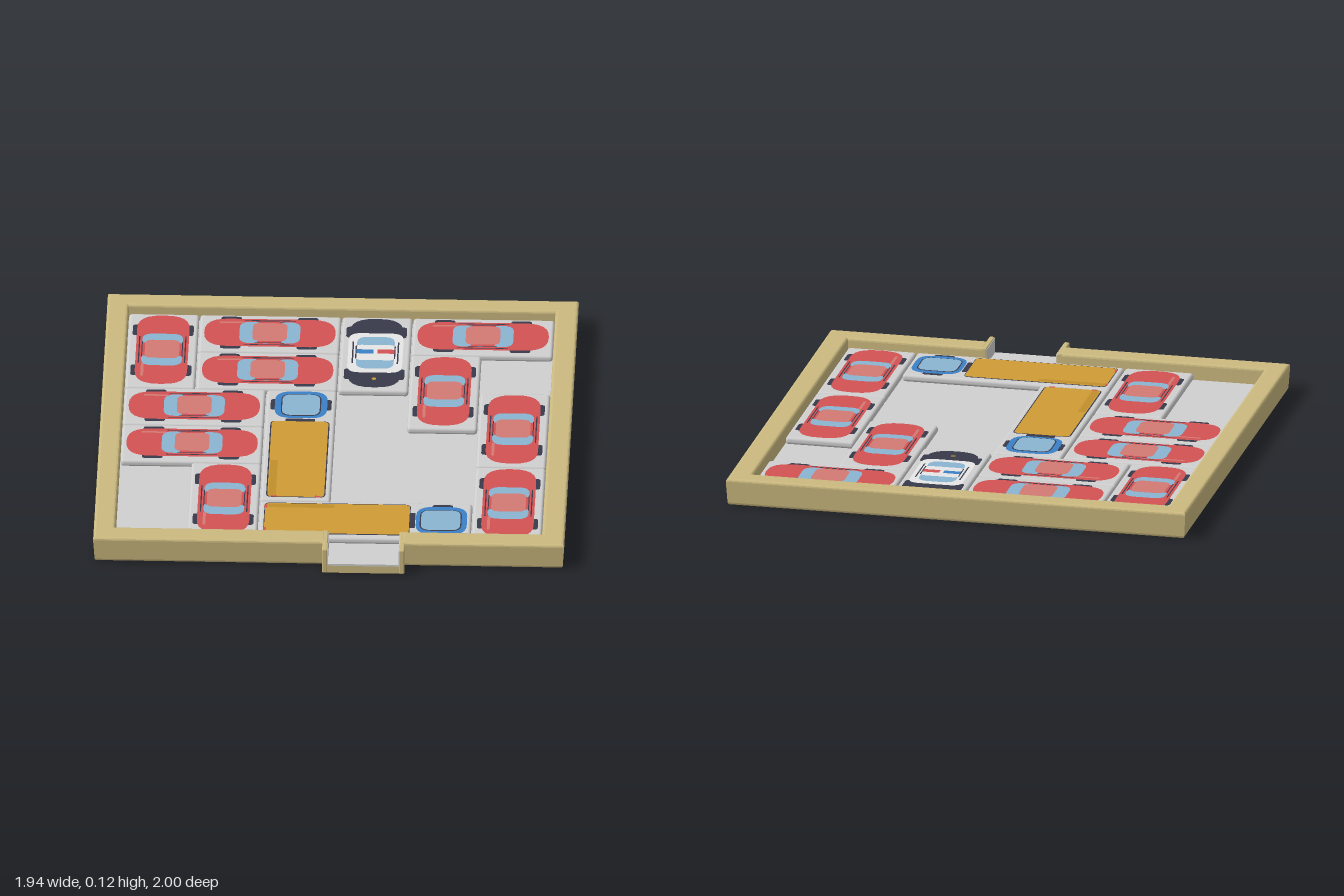
import * as THREE from 'three';
import { RoundedBoxGeometry } from 'three/addons/geometries/RoundedBoxGeometry.js';

const mat = (name, color) => {
  const m = new THREE.MeshStandardMaterial({ color });
  m.name = name;
  return m;
};

export function createModel() {
  const model = new THREE.Group();
  model.name = 'slidingCarPuzzle';

  const tan = mat('tan', 0xcbb97f), grey = mat('lightGrey', 0xcfcfcf), red = mat('red', 0xd35252);
  const pink = mat('roofPink', 0xd27a74), glass = mat('glassBlue', 0x8ab4d0), dark = mat('darkNavy', 0x383a4a);
  const blue = mat('blue', 0x3a80c6), orange = mat('orange', 0xcf9c35), white = mat('white', 0xe6e6e6);
  const amber = mat('darkOrange', 0xc08e2c);

  const add = (parent, name, geo, material, x = 0, y = 0, z = 0) => {
    const m = new THREE.Mesh(geo, material);
    m.name = name;
    m.position.set(x, y, z);
    parent.add(m);
    return m;
  };
  const box = (name, material, x0, x1, y0, y1, z0, z1) =>
    add(model, name, new THREE.BoxGeometry(x1 - x0, y1 - y0, z1 - z0), material,
      (x0 + x1) / 2, (y0 + y1) / 2, (z0 + z1) / 2);

  // Board measures
  const H = 0.115, CELL = 0.2925, X0 = -0.88, Z0 = -0.91, FLOOR = 0.045, TOP = 0.077;
  const X1 = X0 + 6 * CELL, Z1 = Z0 + 6 * CELL;
  const EX0 = X0 + 3 * CELL, EX1 = EX0 + CELL;

  // Tan rim, open at the exit, narrowing slightly towards its foot
  const rim = new THREE.Shape([
    [EX0 - 0.01, 0.94], [-0.97, 0.94], [-0.97, -1], [0.97, -1], [0.97, 0.94], [EX1 + 0.01, 0.94],
    [EX1 + 0.01, Z1], [X1, Z1], [X1, Z0], [X0, Z0], [X0, Z1], [EX0 - 0.01, Z1],
  ].map(([x, z]) => new THREE.Vector2(x, -z)));
  const bevel = 0.012;
  const rimGeo = new THREE.ExtrudeGeometry(rim, {
    depth: H - 2 * bevel, bevelThickness: bevel, bevelSize: bevel, bevelOffset: -bevel, bevelSegments: 3,
  });
  rimGeo.rotateX(-Math.PI / 2).translate(0, bevel, 0);
  const p = rimGeo.attributes.position;
  for (let i = 0; i < p.count; i++) {
    const outer = Math.abs(p.getX(i)) > 0.92 || p.getZ(i) < -0.95 || p.getZ(i) > 0.9;
    const k = outer ? 1 - 0.008 * (1 - p.getY(i) / H) : 1;
    p.setX(i, p.getX(i) * k);
    p.setZ(i, p.getZ(i) * k);
  }
  rimGeo.computeVertexNormals();
  add(model, 'rim', rimGeo, tan);

  // Base, floor and exit chute
  box('base', tan, -0.95, 0.95, 0, 0.035, -0.98, 0.92);
  box('floor', grey, X0 - 0.01, X1 + 0.01, 0.034, FLOOR, Z0 - 0.01, Z1 + 0.01);
  box('exitBase', tan, EX0 - 0.02, EX1 + 0.02, 0.002, 0.037, 0.9, 0.997);
  box('exitFloor', grey, EX0, EX1, 0.037, FLOOR + 0.001, Z1, 1);
  for (const [x, s] of [[EX0, -1], [EX1, 1]]) {
    const lip = new RoundedBoxGeometry(0.022, H - 0.002, 1 - Z1, 2, 0.005);
    add(model, 'exitLip', lip, tan, x + s * 0.012, H / 2, (1 + Z1) / 2);
    const a = x - s * 0.001, b = x + s * 0.003;
    box('exitLiner', grey, Math.min(a, b), Math.max(a, b), FLOOR, H - 0.006, Z1 + 0.003, 0.998);
  }

  // Flat rounded panel painted on a block; layer sets the stacking order
  const panel = (g, name, material, w, d, r, x, z, layer) => {
    const s = new THREE.Shape(), a = w / 2, b = d / 2;
    r = Math.min(r, a * 0.999, b * 0.999);
    s.moveTo(-a + r, -b).lineTo(a - r, -b).quadraticCurveTo(a, -b, a, -b + r)
      .lineTo(a, b - r).quadraticCurveTo(a, b, a - r, b)
      .lineTo(-a + r, b).quadraticCurveTo(-a, b, -a, b - r)
      .lineTo(-a, -b + r).quadraticCurveTo(-a, -b, -a + r, -b);
    const geo = new THREE.ShapeGeometry(s, 6).rotateX(-Math.PI / 2);
    add(g, name, geo, material, x, TOP + 0.001 * layer, z);
  };

  // Block covering cells, drawn lengthwise along x and turned when upright
  const block = (name, col, row, len, upright) => {
    const g = new THREE.Group();
    g.name = name;
    const w = upright ? 1 : len, d = upright ? len : 1;
    g.position.set(X0 + (col + w / 2) * CELL, 0, Z0 + (row + d / 2) * CELL);
    if (upright) g.rotation.y = Math.PI / 2;
    const geo = new RoundedBoxGeometry(len * CELL - 0.004, TOP - FLOOR, CELL - 0.004, 3, 0.013);
    add(g, 'block', geo, grey, 0, (TOP + FLOOR) / 2, 0);
    model.add(g);
    return g;
  };
  const wheels = (g, xs, z) => {
    for (const x of xs) for (const s of [-1, 1]) panel(g, 'wheel', dark, 0.085, 0.035, 0.015, x, s * z, 1);
  };

  const redCar = (col, row, upright) => {
    const g = block('redCar', col, row, 2, upright);
    wheels(g, [-0.16, 0.155], 0.108);
    panel(g, 'body', red, 0.54, 0.216, 0.1, 0, 0, 2);
    for (const s of [-1, 1]) {
      panel(g, 'doorLine', dark, 0.21, 0.005, 0.001, 0, s * 0.095, 3);
      panel(g, 'sillLine', dark, 0.12, 0.004, 0.001, 0, s * 0.083, 5);
    }
    panel(g, 'windows', glass, 0.25, 0.168, 0.045, 0, 0, 3);
    panel(g, 'doors', red, 0.1, 0.17, 0.001, 0, 0, 4);
    panel(g, 'roof', pink, 0.142, 0.142, 0.03, 0, 0, 6);
    panel(g, 'shine', pink, 0.1, 0.012, 0.004, -0.16, -0.078, 3);
  };

  const patrolCar = (col, row) => {
    const g = block('patrolCar', col, row, 2, true);
    wheels(g, [-0.165, 0.165], 0.107);
    panel(g, 'bodyEnds', dark, 0.54, 0.22, 0.1, 0, 0, 2);
    panel(g, 'bodyMiddle', white, 0.31, 0.226, 0.05, 0, 0, 3);
    for (const s of [-1, 1]) {
      panel(g, 'doorLine', dark, 0.17, 0.006, 0.001, 0, s * 0.093, 4);
      panel(g, 'sillLine', dark, 0.1, 0.005, 0.001, 0, s * 0.08, 6);
    }
    panel(g, 'windows', glass, 0.25, 0.155, 0.045, 0, 0, 4);
    panel(g, 'roof', white, 0.12, 0.157, 0.02, 0, 0, 5);
    panel(g, 'lightBarBlue', blue, 0.032, 0.07, 0.003, 0.005, -0.043, 7);
    panel(g, 'lightBarRed', red, 0.032, 0.07, 0.003, 0.005, 0.043, 7);
    panel(g, 'badge', orange, 0.018, 0.018, 0.009, -0.205, 0, 4);
  };

  const truck = (col, row, upright) => {
    const g = block('truck', col, row, 3, upright);
    wheels(g, [0.315], 0.108);
    panel(g, 'hitch', dark, 0.03, 0.12, 0.004, 0.19, 0, 1);
    panel(g, 'cab', blue, 0.21, 0.216, 0.07, 0.313, 0, 2);
    panel(g, 'cabTrim', dark, 0.172, 0.165, 0.045, 0.31, 0, 3);
    panel(g, 'cabRoof', glass, 0.162, 0.155, 0.04, 0.31, 0, 4);
    panel(g, 'cargoEdge', dark, 0.602, 0.244, 0.025, -0.117, 0, 2);
    panel(g, 'cargo', orange, 0.596, 0.234, 0.022, -0.117, 0, 3);
    panel(g, 'cargoShade', amber, 0.28, 0.03, 0.005, -0.27, -0.097, 4);
    for (const s of [-1, 1]) panel(g, 'tailLight', red, 0.012, 0.025, 0.003, -0.413, s * 0.09, 4);
  };

  // Board layout: column, row, upright
  [[0, 0, true], [1, 0, false], [1, 1, false], [4, 0, false], [4, 1, true], [5, 2, true],
    [5, 4, true], [0, 2, false], [0, 3, false], [1, 4, true]].forEach((c) => redCar(...c));
  patrolCar(3, 0);
  truck(2, 2, true);
  truck(2, 5, false);

  return model;
}
